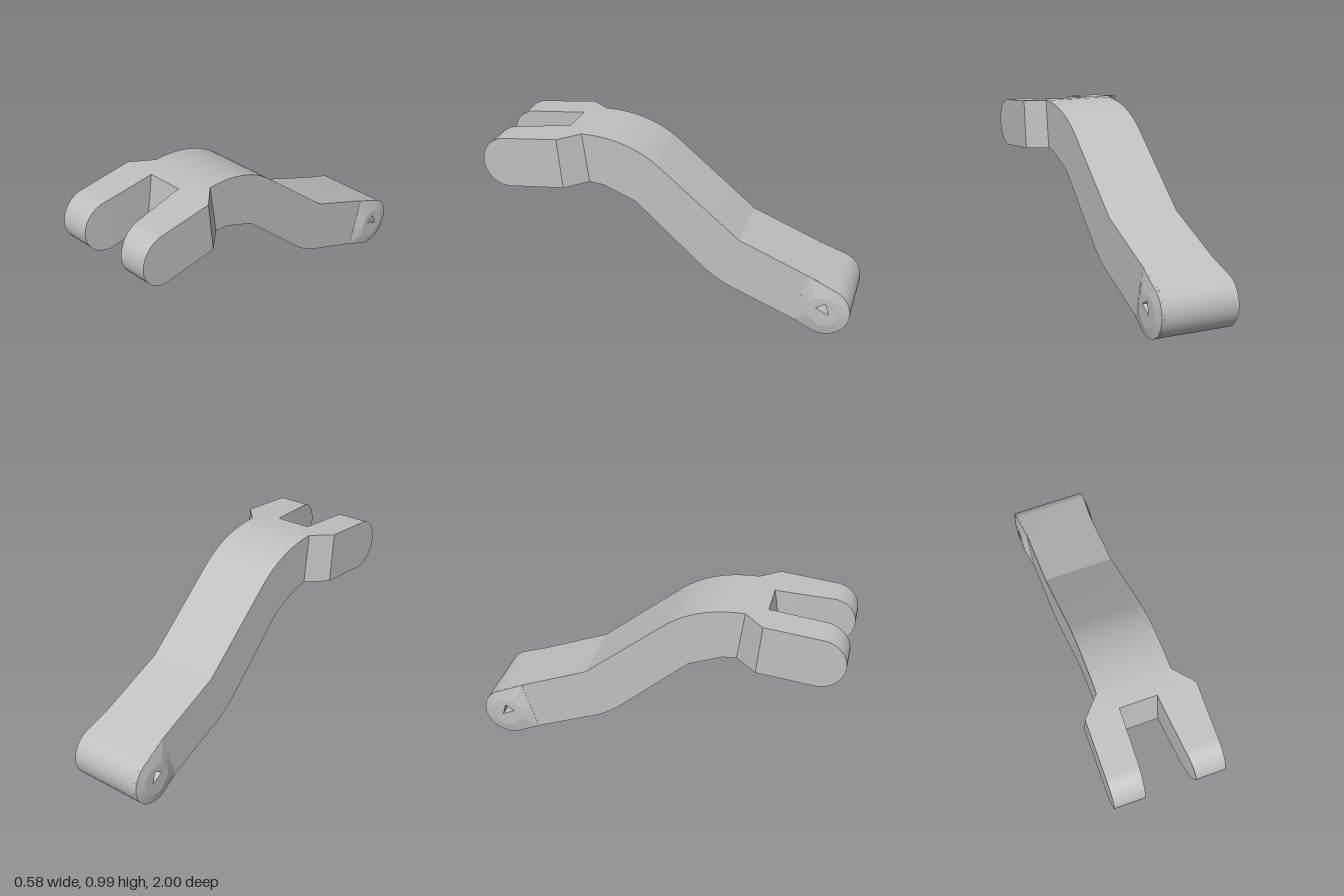
import * as THREE from 'three';
import { toCreasedNormals } from 'three/addons/utils/BufferGeometryUtils.js';

const CREASE = 0.27;
const rad = THREE.MathUtils.degToRad;

// Skin between successive rings of [x, y, z] points
function loft(rings) {
  const n = rings[0].length;
  const index = [];
  for (let r = 0; r < rings.length - 1; r++) {
    for (let i = 0; i < n; i++) {
      const a = r * n + i, b = r * n + (i + 1) % n;
      index.push(a, b, b + n, a, b + n, a + n);
    }
  }
  const geo = new THREE.BufferGeometry();
  geo.setAttribute('position', new THREE.Float32BufferAttribute(rings.flat(2), 3));
  geo.setIndex(index);
  return toCreasedNormals(geo, CREASE);
}

// Extrude a side profile drawn in (-z, y) symmetrically along x
function extrudeAcross(shape, width) {
  const geo = new THREE.ExtrudeGeometry(shape, { depth: width, bevelEnabled: false, curveSegments: 20 });
  geo.translate(0, 0, -width / 2);
  geo.rotateY(Math.PI / 2);
  return toCreasedNormals(geo, CREASE);
}

export function createModel() {
  const group = new THREE.Group();
  const grey = new THREE.MeshStandardMaterial({ color: 0xc0c0c0 });
  grey.name = 'light grey metal';
  const add = (name, geo) => {
    const mesh = new THREE.Mesh(geo, grey);
    mesh.name = name;
    group.add(mesh);
  };

  const triangleHole = () => new THREE.Path([[0.82, 0.16], [0.87, 0.19], [0.89, 0.125]]
    .map(([u, v]) => new THREE.Vector2(u, v)));
  const end = { u: 0.86, v: 0.14, r: 0.14, from: rad(-112), to: rad(68) };

  // Cranked arm with a rounded rear end; its front face is the back of the fork slot
  const arm = new THREE.Shape();
  arm.moveTo(-0.62, 0.7);
  arm.lineTo(-0.435, 0.715);
  arm.lineTo(-0.36, 0.708);
  arm.lineTo(-0.18, 0.635);
  arm.lineTo(0.2, 0.29);
  arm.quadraticCurveTo(0.29, 0.213, 0.39, 0.18);
  arm.lineTo(0.8075, 0.01);
  arm.absarc(end.u, end.v, end.r, end.from, end.to, false);
  arm.lineTo(0.39, 0.485);
  arm.lineTo(-0.05, 0.852);
  arm.quadraticCurveTo(-0.22, 0.99, -0.47, 0.987);
  arm.lineTo(-0.575, 0.98);
  arm.closePath();
  arm.holes.push(triangleHole());
  add('arm', extrudeAcross(arm, 0.39));

  // Fork prongs: stations of [z top, y top, z bottom, y bottom, inner x, outer x]
  function prong(side, inner) {
    const stations = [
      [0.47, 0.987, 0.435, 0.715, inner[0], 0.195],
      [0.575, 0.98, 0.55, 0.706, inner[0], 0.29],
      [0.6, 0.978, 0.62, 0.7, inner[0], 0.29],
    ];
    for (let i = 0; i <= 12; i++) {
      const t = rad(i * 7.5);
      const z = 0.862 + 0.138 * Math.sin(t), h = 0.138 * Math.cos(t);
      const x = inner[1] + (inner[2] - inner[1]) * Math.sin(t);
      stations.push([z, 0.815 + h, z, 0.815 - h, x, 0.29]);
    }
    return loft(stations.map(([zt, yt, zb, yb, xi, xo]) => {
      const lo = side > 0 ? xi : -xo, hi = side > 0 ? xo : -xi;
      return [[lo, yb, zb], [hi, yb, zb], [hi, yt, zt], [lo, yt, zt]];
    }));
  }
  add('leftProng', prong(1, [0.085, 0.115, 0.135]));
  add('rightProng', prong(-1, [0.113, 0.118, 0.128]));

  // Rear end outline as [u, v, rim x]: rounded end, then a straight seam across the arm
  const outline = [];
  for (let i = 0; i <= 24; i++) {
    const t = end.from + (end.to - end.from) * i / 24;
    outline.push([end.u + end.r * Math.cos(t), end.v + end.r * Math.sin(t), 0.21]);
  }
  for (let i = 0; i <= 6; i++) {
    const k = i / 6;
    outline.push([0.77 - 0.08 * k, 0.328 - 0.27 * k, 0.196]);
  }
  const inner = outline.map(([u, v]) => {
    const t = Math.atan2(v - end.v, u - end.u);
    return [end.u + 0.085 * Math.cos(t), end.v + 0.085 * Math.sin(t)];
  });

  // Sloping shoulders rising to the flat pivot faces
  for (const side of [1, -1]) {
    const rings = [
      outline.map(([u, v]) => [side * 0.18, v, -u]),
      outline.map(([u, v, x]) => [side * x, v, -u]),
      inner.map(([u, v]) => [side * 0.222, v, -u]),
    ];
    if (side < 0) rings.reverse();
    add(side > 0 ? 'leftPivotShoulder' : 'rightPivotShoulder', loft(rings));
  }

  // Pivot core with the three-sided through hole
  const core = new THREE.Shape(inner.map(([u, v]) => new THREE.Vector2(u, v)));
  core.holes.push(triangleHole());
  add('pivotCore', extrudeAcross(core, 0.444));

  return group;
}
